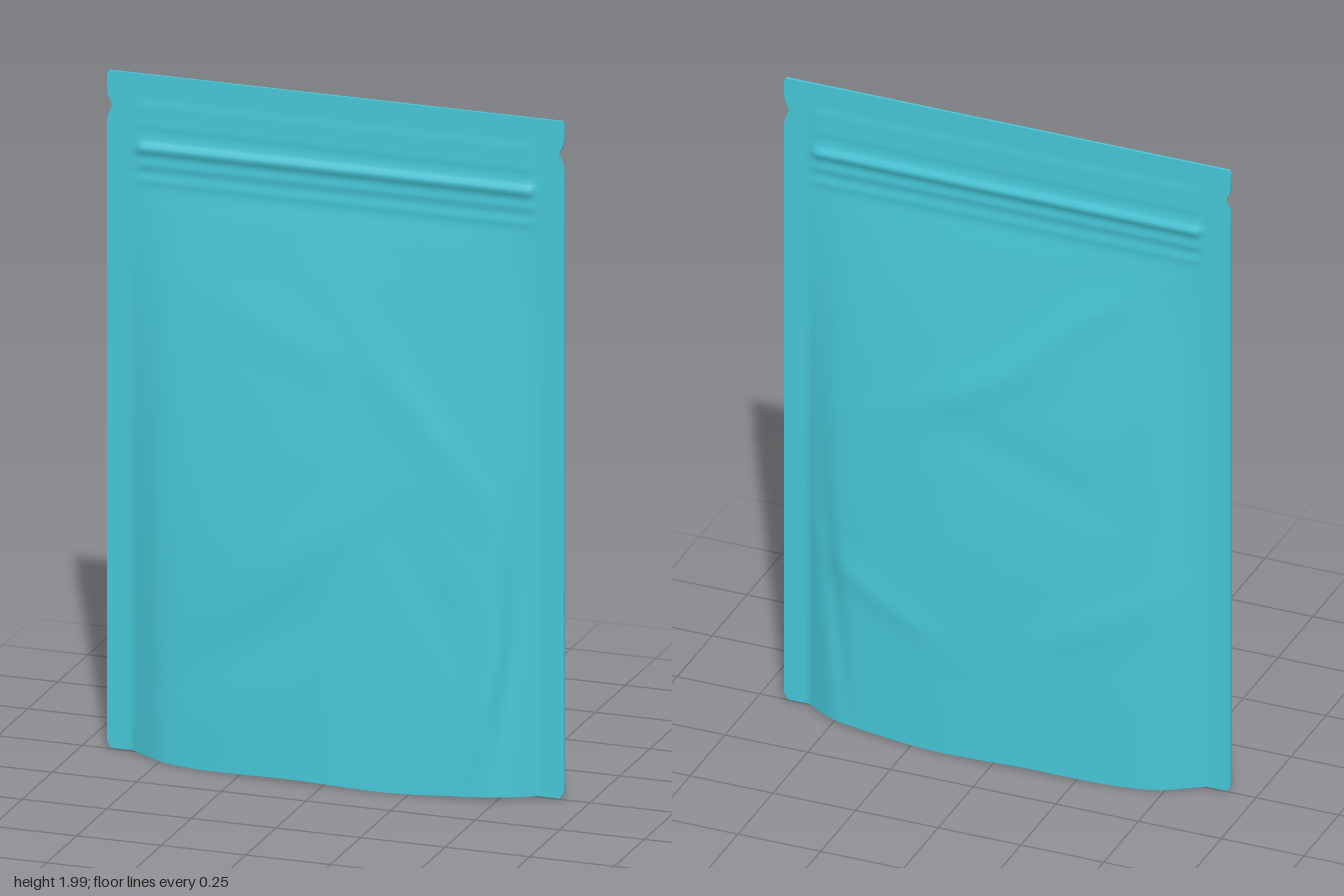
import * as THREE from 'three';

const HALF = 0.675, INNER = 0.6, TOP = 2, FILM = 0.004;
const material = new THREE.MeshStandardMaterial({ color: 0x46c5d6, side: THREE.DoubleSide });

const smooth = THREE.MathUtils.smoothstep;
const bump = (d, w) => Math.exp(-(d * d) / (w * w));

// smooth curve through a few [position, value] points
function profile(points) {
  const m = points.map((p, i) => {
    const a = points[Math.max(i - 1, 0)], b = points[Math.min(i + 1, points.length - 1)];
    return (b[1] - a[1]) / (b[0] - a[0]);
  });
  return (s) => {
    let i = 0;
    while (i < points.length - 2 && s > points[i + 1][0]) i++;
    const [x0, y0] = points[i], [x1, y1] = points[i + 1], h = x1 - x0;
    const t = THREE.MathUtils.clamp((s - x0) / h, 0, 1), t2 = t * t, t3 = t2 * t;
    return (2 * t3 - 3 * t2 + 1) * y0 + (t3 - 2 * t2 + t) * h * m[i]
      + (3 * t2 - 2 * t3) * y1 + (t3 - t2) * h * m[i + 1];
  };
}

// bulge of each panel by height, and its falloff towards the side seals
const bulge = profile([[0, 0.109], [0.3, 0.105], [0.6, 0.097], [0.8, 0.086], [1, 0.072],
  [1.2, 0.055], [1.4, 0.034], [1.6, 0.01], [1.68, 0], [2, 0]]);
const across = profile([[0, 1], [0.2, 0.94], [0.42, 0.74], [0.5, 0.57], [0.56, 0.25], [0.6, 0]]);

// soft creases: [x, y, angle, length, width, height]
const creases = {
  1: [[0.02, 0.75, 0.7, 0.25, 0.07, 0.006], [0.3, 1.05, -0.9, 0.3, 0.06, 0.006],
    [-0.15, 1.3, -0.4, 0.22, 0.07, 0.004], [-0.2, 0.4, 0.6, 0.25, 0.08, -0.005],
    [0.53, 0.45, 1.5, 0.35, 0.025, -0.016], [0.46, 0.25, 1.35, 0.25, 0.025, 0.007],
    [0.3, 0.6, -1.1, 0.25, 0.06, -0.005]],
  '-1': [[0.2, 1.4, -0.75, 0.28, 0.05, 0.007], [-0.1, 1.15, -0.5, 0.3, 0.06, 0.006],
    [0.1, 0.95, 0.35, 0.25, 0.07, -0.005], [-0.35, 0.45, 0.5, 0.22, 0.05, 0.006],
    [0.3, 0.5, -0.5, 0.22, 0.06, 0.005], [-0.5, 0.4, 1.45, 0.3, 0.03, -0.01]],
};

function wrinkle(x, y, side) {
  const px = side > 0 ? x : -x;
  return creases[side].reduce((sum, [cx, cy, a, len, wid, h]) => {
    const dx = px * side - cx * side, dy = y - cy;
    const along = dx * Math.cos(a) + dy * Math.sin(a);
    const over = -dx * Math.sin(a) + dy * Math.cos(a);
    return sum + h * bump(along, len) * bump(over, wid);
  }, 0);
}

// zip track, guide ribs and header seal
function zipRelief(y) {
  return 0.010 * bump(y - 1.785, 0.014) + 0.005 * bump(y - 1.79, 0.05)
    + 0.004 * bump(y - 1.735, 0.012) - 0.002 * bump(y - 1.712, 0.01)
    + 0.003 * bump(y - 1.69, 0.012) + 0.003 * smooth(y, 1.83, 1.85) * (1 - smooth(y, 1.9, 1.94));
}

// distance of a panel from the middle plane
function depth(x, y, side) {
  const ax = Math.abs(x);
  if (ax >= INNER) return FILM;
  const inside = 1 - smooth(ax, 0.57, INNER);
  const body = bulge(y) * across(ax) + wrinkle(x, y, side) * inside * (1 - smooth(y, 1.45, 1.65));
  return Math.max(FILM + body + zipRelief(y) * inside, FILM);
}

// gently wavy lower hem
const hem = (x) => 0.01 + 0.004 * Math.sin(x * 11 + 2.6) * (1 - smooth(Math.abs(x), 0.5, 0.62));

// outline of the pouch, with tear notches and rounded lower corners
function outline(u, v) {
  const flat = u * HALF;
  const y = hem(flat) + (TOP - hem(flat)) * v;
  const cut = 0.014 * bump(y - 1.9, 0.022) + 0.012 * (1 - smooth(y, 0.008, 0.03))
    + 0.005 * smooth(y, 1.99, 2);
  return [flat - Math.sign(u) * cut * smooth(Math.abs(u), 0.92, 1), y];
}

// grid surface from a rule of (s, t) in 0..1
function sheet(name, cols, rows, rule) {
  const pos = [], index = [];
  for (let j = 0; j <= rows; j++) {
    for (let i = 0; i <= cols; i++) {
      pos.push(...rule(i / cols, j / rows));
      if (i < cols && j < rows) {
        const a = j * (cols + 1) + i, b = a + cols + 1;
        index.push(a, a + 1, b + 1, a, b + 1, b);
      }
    }
  }
  const geometry = new THREE.BufferGeometry();
  geometry.setAttribute('position', new THREE.Float32BufferAttribute(pos, 3));
  geometry.setIndex(index);
  geometry.computeVertexNormals();
  const mesh = new THREE.Mesh(geometry, material);
  mesh.name = name;
  return mesh;
}

export function createModel() {
  const pouch = new THREE.Group();
  pouch.name = 'pouch';

  // front and back panels with their seals
  for (const [name, side] of [['frontPanel', 1], ['backPanel', -1]]) {
    pouch.add(sheet(name, 108, 200, (s, t) => {
      const [x, y] = outline((2 * s - 1) * side, t);
      return [x, y, side * depth(x, y, side)];
    }));
  }

  // thin rims closing the film at the sides and top
  for (const [name, u] of [['leftRim', 1], ['rightRim', -1]]) {
    pouch.add(sheet(name, 1, 200, (s, t) => {
      const [x, y] = outline(u, t);
      return [x, y, (1 - 2 * s) * u * FILM];
    }));
  }
  pouch.add(sheet('topRim', 108, 1, (s, t) => {
    const [x, y] = outline(2 * s - 1, 1);
    return [x, y, (1 - 2 * t) * depth(x, y, 1)];
  }));

  // bottom gusset folded up into the pouch, and the hem of the side seals
  pouch.add(sheet('bottomGusset', 108, 24, (s, t) => {
    const [x, y] = outline(2 * s - 1, 0);
    const w = 2 * t - 1, side = w < 0 ? -1 : 1;
    const ax = Math.abs(x);
    const fold = (0.1 + 0.12 * (ax / INNER) ** 2) * (1 - smooth(ax, 0.56, INNER));
    const lift = fold * (1 - Math.abs(w) ** 1.6);
    return [x, y + lift, w * Math.min(depth(x, y, side), Math.max(depth(x, y + lift, side) - 0.002, FILM) + 0.01)];
  }));

  return pouch;
}
